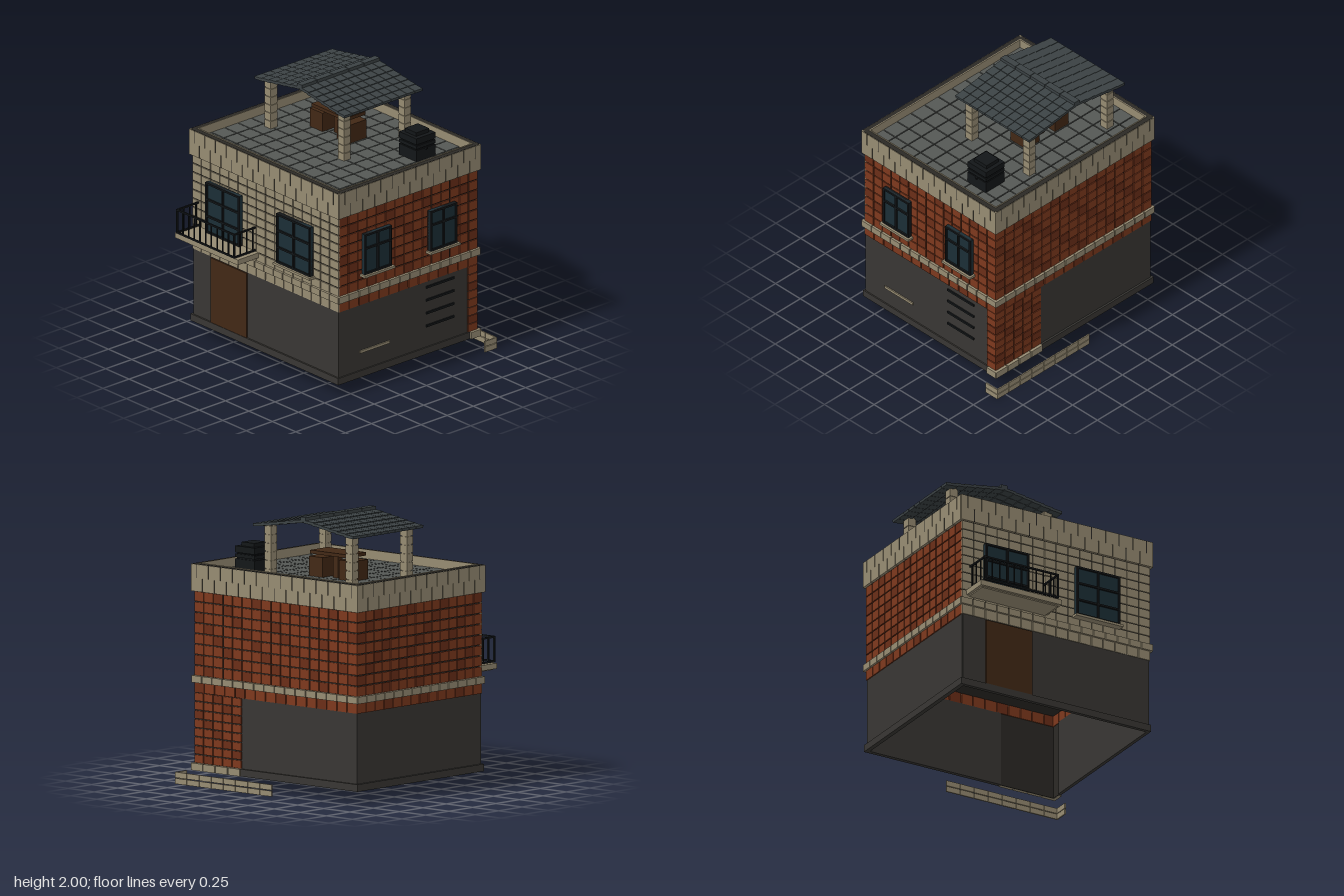
import * as THREE from 'three';
import { mergeGeometries } from 'three/addons/utils/BufferGeometryUtils.js';

const mat = (color) => new THREE.MeshStandardMaterial({ color });
const M = {
  stone: mat(0x968b72), brick: mat(0x7d381d), brickDark: mat(0x6a2d17), plaster: mat(0x383633),
  joint: mat(0x2b2925), paving: mat(0x555855), roof: mat(0x3b4244), glass: mat(0x1b2e36),
  black: mat(0x131618), wood: mat(0x422815),
};

// Box geometry from its two extreme corners
function span(x0, x1, y0, y1, z0, z1) {
  return new THREE.BoxGeometry(Math.abs(x1 - x0), y1 - y0, Math.abs(z1 - z0))
    .translate((x0 + x1) / 2, (y0 + y1) / 2, (z0 + z1) / 2);
}

export function createModel() {
  const model = new THREE.Group();
  const add = (name, material, geos, parent = model) => {
    if (!geos.length) return null;
    const mesh = new THREE.Mesh(mergeGeometries(geos), material);
    mesh.name = name;
    parent.add(mesh);
    return mesh;
  };
  const box = (name, material, ...s) => add(name, material, [span(...s)]);

  // The four sides: axis the wall runs along, and the outward direction
  const FRONT = { axis: 'x', out: 1 }, BACK = { axis: 'x', out: -1 };
  const RIGHT = { axis: 'z', out: 1 }, LEFT = { axis: 'z', out: -1 };
  // Box on a side: u along the wall, y up, w0 outer face, depth going inwards
  const onSide = (s, u0, u1, y0, y1, outer, depth) => {
    const inner = outer - s.out * depth;
    return s.axis === 'x' ? span(u0, u1, y0, y1, inner, outer) : span(inner, outer, y0, y1, u0, u1);
  };

  // Courses of blocks with open joints
  function blocks(name, materials, s, u0, u1, y0, y1, cols, rows, outer, depth, opt = {}) {
    const { gap = 0.008, gapY = gap, stagger = 0 } = opt;
    const w = (u1 - u0) / cols, h = (y1 - y0) / rows;
    const sets = materials.map(() => []);
    for (let r = 0; r < rows; r++) {
      const shift = (r % 2) * stagger * w;
      for (let c = shift ? -1 : 0; c < cols; c++) {
        const a = Math.max(u0, u0 + c * w + shift) + gap / 2;
        const b = Math.min(u1, u0 + (c + 1) * w + shift) - gap / 2;
        if (b - a < 0.005) continue;
        sets[(c * 7 + r * 5 + 35) % 4 === 0 ? materials.length - 1 : 0]
          .push(onSide(s, a, b, y0 + r * h + gapY / 2, y0 + (r + 1) * h - gapY / 2, outer, depth));
      }
    }
    sets.forEach((g, i) => add(name, materials[i], g));
  }
  const stone = [M.stone], brick = [M.brick, M.brickDark];

  // Upper storey core, with open ground floor below it
  box('upperCore', M.joint, -0.812, 0.737, 0.74, 1.515, -0.712, 0.602);

  // Upper facades
  blocks('frontStoneWall', stone, FRONT, -0.82, 0.745, 0.78, 1.39, 16, 9, 0.61, 0.02);
  blocks('rightBrickWall', brick, RIGHT, -0.72, 0.605, 0.78, 1.39, 15, 8, 0.745, 0.02);
  blocks('leftBrickWall', brick, LEFT, -0.72, 0.605, 0.78, 1.39, 15, 8, -0.82, 0.02);
  blocks('backBrickWall', brick, BACK, -0.82, 0.745, 0.78, 1.39, 17, 8, -0.72, 0.02);

  // Strip under the band, the band itself and the parapet, on every side
  const sides = [
    [FRONT, -0.82, 0.745, 0.61, stone], [BACK, -0.82, 0.745, -0.72, brick],
    [RIGHT, -0.72, 0.605, 0.745, brick], [LEFT, -0.72, 0.605, -0.82, brick],
  ];
  for (const [s, u0, u1, outer, m] of sides) {
    const n = s.axis === 'x' ? 16 : 14, o = outer + s.out * 0.016;
    blocks('lowerStrip', m, s, u0, u1, 0.66, 0.74, n, 1, outer, 0.02, { gapY: 0 });
    blocks('beltCourse', stone, s, u0 - 0.016, u1 + 0.016, 0.732, 0.782, n, 1, o, 0.03, { gapY: 0 });
    blocks('parapetBlocks', stone, s, u0 - 0.018, u1 + 0.018, 1.39, 1.585, n - 2, 2, o, 0.02,
      { gapY: 0, stagger: 0.5 });
    add('parapetCore', M.joint, [onSide(s, u0, u1, 1.395, 1.587, outer + s.out * 0.012, 0.042)]);
    add('parapetLining', M.stone,
      [onSide(s, u0 + 0.025, u1 - 0.025, 1.51, 1.592, outer - s.out * 0.025, 0.008)]);
  }

  // Paved roof terrace
  const slabs = [];
  for (let i = 0; i < 11; i++) for (let j = 0; j < 10; j++) {
    const x = -0.79 + i * 0.1375, z = -0.69 + j * 0.1275;
    slabs.push(span(x + 0.004, x + 0.1335, 1.51, 1.525, z + 0.004, z + 0.1235));
  }
  add('terracePaving', M.paving, slabs);

  // Ground floor walls: rendered panels and a brick back corner
  box('groundFrontWall', M.plaster, -0.81, 0.738, 0.1, 0.665, 0.59, 0.605);
  box('groundRightWall', M.plaster, 0.722, 0.738, 0.1, 0.665, -0.625, 0.6);
  box('groundLeftWall', M.plaster, -0.812, -0.797, 0.1, 0.665, -0.712, 0.6);
  box('groundBackWall', M.plaster, -0.812, 0.29, 0.1, 0.665, -0.715, -0.7);
  blocks('brickCornerSide', brick, RIGHT, -0.72, -0.625, 0.15, 0.66, 1, 8, 0.745, 0.012);
  blocks('brickCornerBack', brick, BACK, 0.29, 0.745, 0.15, 0.66, 5, 8, -0.72, 0.012);
  box('cornerBackingSide', M.joint, 0.73, 0.738, 0.1, 0.665, -0.712, -0.62);
  box('cornerBackingBack', M.joint, 0.285, 0.737, 0.1, 0.665, -0.712, -0.706);
  add('plinth', M.plaster, [
    span(-0.83, 0.745, 0.1, 0.152, 0.6, 0.618), span(-0.83, -0.81, 0.1, 0.152, -0.73, 0.618),
    span(-0.83, 0.29, 0.1, 0.152, -0.73, -0.712), span(0.735, 0.748, 0.1, 0.152, -0.64, 0.618),
  ]);
  blocks('stonePlinthBack', stone, BACK, 0.29, 0.762, 0.1, 0.152, 4, 1, -0.74, 0.03, { gapY: 0 });
  blocks('stonePlinthSide', stone, RIGHT, -0.74, -0.64, 0.1, 0.152, 1, 1, 0.762, 0.03, { gapY: 0 });

  // Street door, wall vents and low ledge
  box('streetDoor', M.wood, -0.62, -0.235, 0.135, 0.652, 0.6, 0.615);
  add('wallVents', M.black, [0.315, 0.415, 0.515, 0.615]
    .map((y) => span(0.73, 0.748, y - 0.008, y + 0.008, -0.495, -0.23)));
  box('lowLedge', M.stone, 0.73, 0.747, 0.285, 0.305, 0.12, 0.405);

  // Curb behind the back corner
  blocks('curbBack', stone, BACK, -0.095, 0.835, 0, 0.09, 8, 2, -0.825, 0.01, { gap: 0.005 });
  blocks('curbSide', stone, RIGHT, -0.825, -0.705, 0, 0.09, 1, 2, 0.835, 0.01, { gap: 0.005 });

  // Windows: pane, frame with glazing bars, optional sill
  function makeWindow(name, s, u0, u1, y0, y1, wall, bars, sill) {
    const g = new THREE.Group();
    g.name = name;
    model.add(g);
    const face = wall + s.out * 0.035, um = (u0 + u1) / 2, f = 0.014;
    add('pane', M.glass, [onSide(s, u0, u1, y0, y1, wall + s.out * 0.022, 0.03)], g);
    const frame = [[u0, u0 + f, y0, y1], [u1 - f, u1, y0, y1], [um - f / 2, um + f / 2, y0, y1],
      [u0, u1, y0, y0 + f], [u0, u1, y1 - f, y1],
      ...bars.map((y) => [u0, u1, y - f / 2, y + f / 2])];
    add('frame', M.black, frame.map((r) => onSide(s, ...r, face, 0.045)), g);
    if (sill) add('sill', M.stone,
      [onSide(s, u0 - 0.015, u1 + 0.015, y0 - 0.018, y0, wall + s.out * 0.052, 0.06)], g);
  }
  makeWindow('frontWindow', FRONT, 0.115, 0.475, 0.86, 1.24, 0.612, [0.98, 1.11], true);
  makeWindow('balconyDoor', FRONT, -0.64, -0.28, 0.85, 1.24, 0.612, [0.98, 1.11], true);
  makeWindow('sideWindow', RIGHT, 0.13, 0.39, 0.9, 1.21, 0.745, [1.1], true);
  makeWindow('sideWindow', RIGHT, -0.495, -0.24, 0.9, 1.21, 0.745, [1.1], true);

  // Balcony slab and railing
  add('balconySlab', M.stone,
    [span(-0.78, -0.11, 0.812, 0.852, 0.6, 0.81), span(-0.76, -0.13, 0.803, 0.815, 0.6, 0.79)]);
  const rails = [], t = 0.006;
  for (const y of [0.862, 1.038]) {
    rails.push(span(-0.757, -0.138, y - t, y + t, 0.808, 0.82));
    for (const x of [-0.751, -0.144]) rails.push(span(x - t, x + t, y - t, y + t, 0.61, 0.82));
  }
  for (let i = 0; i <= 10; i++) {
    const x = -0.751 + i * 0.0607, w = i % 10 ? 0.004 : t;
    rails.push(span(x - w, x + w, 0.86, 1.04, 0.814 - w, 0.814 + w));
  }
  for (const x of [-0.751, -0.144]) for (const z of [0.635, 0.695, 0.755])
    rails.push(span(x - 0.004, x + 0.004, 0.86, 1.04, z - 0.004, z + 0.004));
  add('balconyRailing', M.black, rails);

  // Pavilion posts, stacked from blocks
  for (const x of [-0.58, 0.2]) for (const z of [-0.51, 0.07]) {
    const courses = [span(x - 0.026, x + 0.026, 1.52, 1.91, z - 0.026, z + 0.026)];
    for (let i = 0; i < 6; i++)
      courses.push(span(x - 0.032, x + 0.032, 1.525 + i * 0.062, 1.581 + i * 0.062, z - 0.032, z + 0.032));
    add('pavilionPost', M.stone, courses);
  }

  // Pavilion roof: overlapping tile rows climbing to a ridge
  const tiles = [], peak = -0.19, rowsN = 6;
  for (const side of [-1, 1]) for (let r = 0; r < rowsN; r++) for (let c = 0; c < 10; c++) {
    const y = 1.9025 + r * 0.0125 - (r === 0 ? 0 : 0.001);
    tiles.push(new THREE.BoxGeometry(0.094, 0.02, 0.0715).rotateZ(-side * 0.09)
      .translate(peak + side * (0.433 - r * 0.0765), y, -0.5625 + c * 0.075));
  }
  for (let c = 0; c < 5; c++)
    tiles.push(span(peak - 0.025, peak + 0.025, 1.965, 2, -0.598 + c * 0.15, -0.452 + c * 0.15));
  add('pavilionRoof', M.roof, tiles);

  // Terrace table with its two seats
  box('tableTop', M.wood, -0.37, -0.005, 1.69, 1.715, -0.32, -0.13);
  box('tableLeg', M.wood, -0.21, -0.165, 1.52, 1.695, -0.25, -0.2);
  for (const x of [-0.333, -0.043]) box('seat', M.wood, x - 0.067, x + 0.067, 1.52, 1.667, -0.3, -0.14);

  // Water tank
  add('waterTank', M.black, [
    span(0.4, 0.585, 1.52, 1.61, -0.46, -0.275), span(0.408, 0.577, 1.6, 1.65, -0.452, -0.283),
    span(0.4, 0.585, 1.62, 1.645, -0.46, -0.275), span(0.4, 0.585, 1.655, 1.702, -0.46, -0.275),
    span(0.43, 0.55, 1.7, 1.73, -0.43, -0.305), span(0.58, 0.597, 1.6, 1.615, -0.375, -0.36),
  ]);
  return model;
}
